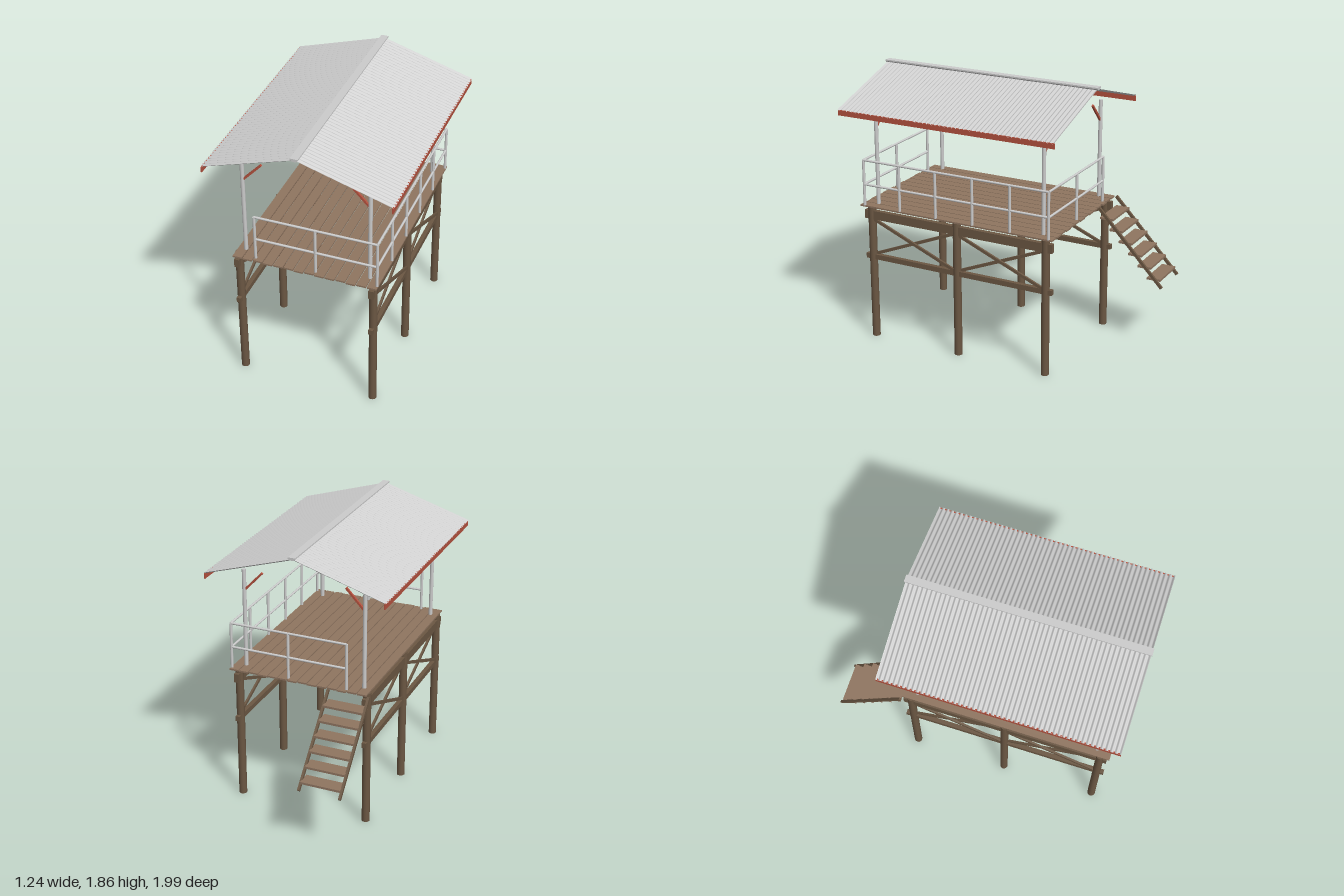
import * as THREE from 'three';

const mat = (color, side = THREE.FrontSide) => new THREE.MeshStandardMaterial({ color, side });
const V = (x, y, z) => new THREE.Vector3(x, y, z);

export function createModel() {
  const model = new THREE.Group();
  const timber = mat(0x6b5743);
  const plankMat = mat(0x8f7560);
  const metal = mat(0xcccccc);
  const sheetMat = mat(0xcccccc, THREE.DoubleSide);
  const red = mat(0xb5523f);
  const dark = mat(0x55555c);

  const group = (name) => {
    const g = new THREE.Group();
    g.name = name;
    model.add(g);
    return g;
  };
  const add = (parent, name, geometry, material) => {
    const m = new THREE.Mesh(geometry, material);
    m.name = name;
    parent.add(m);
    return m;
  };
  const box = (parent, name, material, w, h, d, x, y, z) => {
    const m = add(parent, name, new THREE.BoxGeometry(w, h, d), material);
    m.position.set(x, y, z);
    return m;
  };
  // Round bar between two points
  const rod = (parent, name, material, a, b, r, sides = 12) => {
    const dir = b.clone().sub(a);
    const m = add(parent, name, new THREE.CylinderGeometry(r, r, dir.length(), sides), material);
    m.position.copy(a).add(b).multiplyScalar(0.5);
    m.quaternion.setFromUnitVectors(V(0, 1, 0), dir.normalize());
    return m;
  };
  // Square bar between two points
  const bar = (parent, name, material, a, b, w, h) => {
    const m = add(parent, name, new THREE.BoxGeometry(w, h, a.distanceTo(b)), material);
    m.position.copy(a).add(b).multiplyScalar(0.5);
    m.lookAt(b);
    return m;
  };

  // Legs, long beams and cross bracing on both sides
  const legZ = [0.86, 0.2, -0.455];
  const frame = group('supportFrame');
  for (const s of [-1, 1]) {
    const x = s * 0.455;
    for (const z of legZ) rod(frame, 'leg', timber, V(x, 0, z), V(x, 0.957, z), 0.027, 12);
    box(frame, 'upperBeam', timber, 0.034, 0.06, 1.415, x, 0.896, 0.202);
    box(frame, 'lowerBeam', timber, 0.03, 0.035, 1.415, x, 0.593, 0.202);
    for (let i = 0; i < 2; i++) {
      const z0 = legZ[i] - 0.02, z1 = legZ[i + 1] + 0.02;
      bar(frame, 'crossBrace', timber, V(x + 0.008, 0.865, z0), V(x + 0.008, 0.612, z1), 0.014, 0.02);
      bar(frame, 'crossBrace', timber, V(x - 0.008, 0.612, z0), V(x - 0.008, 0.865, z1), 0.014, 0.02);
    }
  }

  // Deck planks running front to back
  const deck = group('deck');
  const planks = 14, pitch = 0.975 / planks;
  for (let i = 0; i < planks; i++) {
    const shift = 0.004 * Math.sin(i * 2.4);
    box(deck, 'deckPlank', plankMat, pitch - 0.007, 0.011, 1.442, -0.475 + (i + 0.5) * pitch, 0.962, 0.205 + shift);
  }

  // Stair with two stringers and six treads
  const stair = group('stair');
  for (const x of [-0.491, -0.212])
    bar(stair, 'stringer', timber, V(x, 0.958, -0.52), V(x, 0.466, -0.988), 0.016, 0.02);
  for (let i = 0; i < 6; i++)
    box(stair, 'tread', plankMat, 0.27, 0.015, 0.097, -0.3515, 0.887 - i * 0.074, -0.573 - i * 0.0706);

  // Railings at front, back and one side, with gaps at the open side
  const rails = group('railing');
  const railing = (a, b, bays) => {
    for (const y of [1.115, 1.285])
      rod(rails, 'rail', metal, V(a[0], y, a[1]), V(b[0], y, b[1]), 0.008);
    for (let i = 0; i <= bays; i++) {
      const t = i / bays;
      const x = a[0] + (b[0] - a[0]) * t, z = a[1] + (b[1] - a[1]) * t;
      rod(rails, 'railPost', metal, V(x, 0.965, z), V(x, 1.285, z), 0.0095);
    }
  };
  railing([0.49, 0.893], [0.49, -0.49], 5);
  railing([-0.325, 0.893], [0.49, 0.893], 2);
  railing([-0.325, -0.49], [0.49, -0.49], 2);

  // Roof posts with angled struts
  const posts = group('roofPosts');
  for (const s of [-1, 1]) for (const z of [0.828, -0.42]) {
    rod(posts, 'roofPost', metal, V(s * 0.42, 0.965, z), V(s * 0.42, 1.65, z), 0.0135);
    bar(posts, 'strut', red, V(s * 0.41, 1.513, z), V(s * 0.29, 1.64, z), 0.014, 0.014);
  }

  // Board hung between the posts on the open side
  box(model, 'hangingBoard', dark, 0.012, 0.1, 0.535, -0.438, 1.602, 0.203);

  // Corrugated roof sheets, fascias and ridge cap
  const roof = group('roof');
  const length = 1.58, waves = 52, midZ = 0.2, slope = Math.atan2(0.19, 0.62);
  for (const s of [-1, 1]) {
    const geo = new THREE.PlaneGeometry(Math.hypot(0.62, 0.19), length, 1, waves * 8).rotateX(-Math.PI / 2);
    const p = geo.attributes.position;
    for (let i = 0; i < p.count; i++)
      p.setY(i, 0.005 * Math.cos((p.getZ(i) / length + 0.5) * waves * Math.PI * 2));
    geo.computeVertexNormals();
    const sheet = add(roof, 'roofSheet', geo, sheetMat);
    sheet.rotation.z = -s * slope;
    sheet.position.set(s * 0.31, 1.745, midZ);
    box(roof, 'fascia', red, 0.008, 0.036, length, s * 0.614, 1.632, midZ);
  }
  const cap = new THREE.Shape([
    [-0.012, 1.838], [0.012, 1.838], [0.025, 1.848], [0.025, 1.857], [-0.025, 1.857], [-0.025, 1.848],
  ].map(([x, y]) => new THREE.Vector2(x, y)));
  const ridge = add(roof, 'ridgeCap', new THREE.ExtrudeGeometry(cap, { depth: 1.594, bevelEnabled: false }), metal);
  ridge.position.z = -0.597;

  return model;
}
